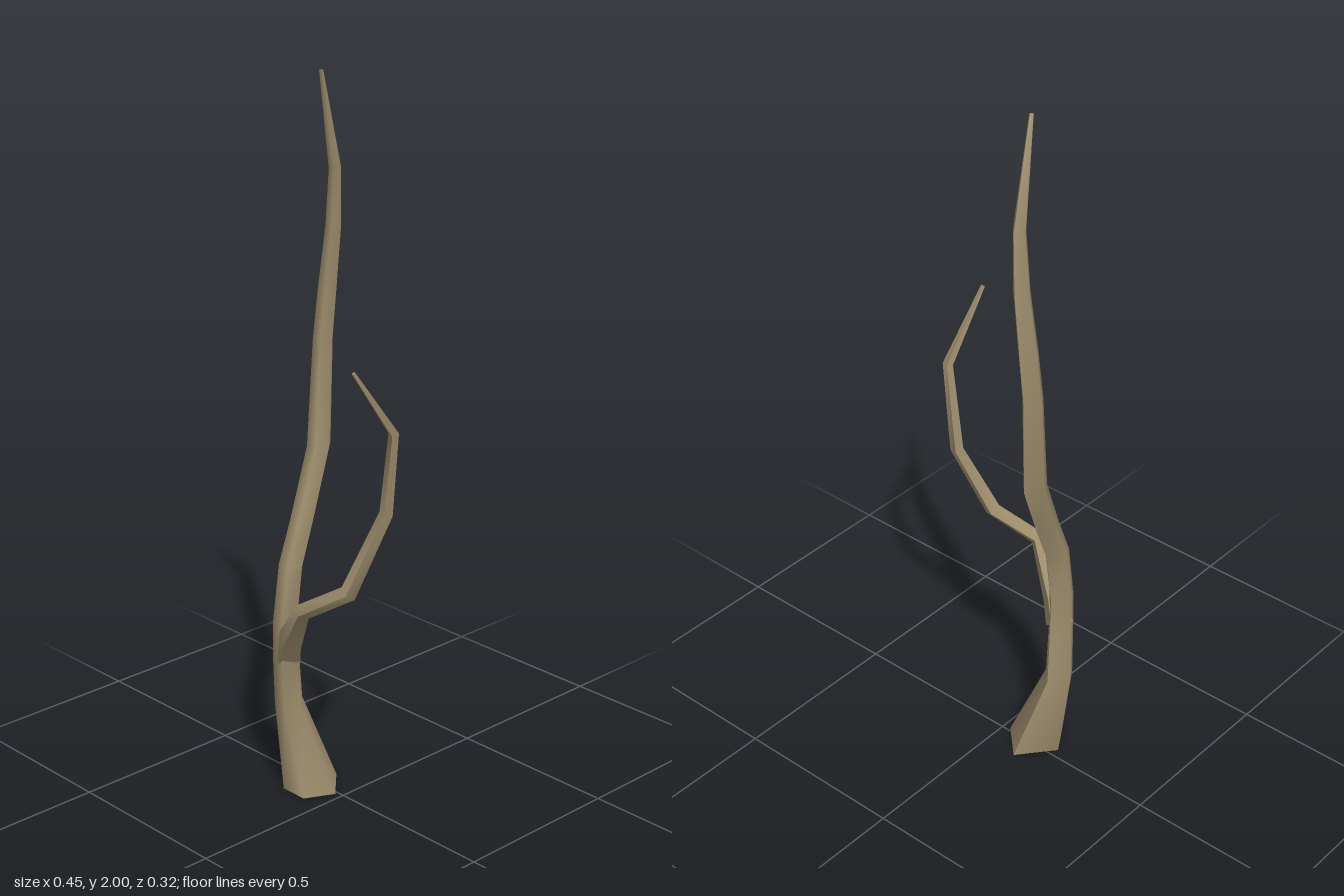
import * as THREE from 'three';
import { toCreasedNormals } from 'three/addons/utils/BufferGeometryUtils.js';

const bark = new THREE.MeshStandardMaterial({ color: 0x9c8c6c });

// Skin a list of rings (arrays of Vector3, counterclockwise around the growth direction), capped at both ends
function loft(name, rings) {
  const n = rings[0].length, pos = [];
  const tri = (...pts) => pts.forEach(p => pos.push(p.x, p.y, p.z));
  for (let r = 0; r < rings.length - 1; r++) {
    for (let i = 0; i < n; i++) {
      const j = (i + 1) % n, lo = rings[r], hi = rings[r + 1];
      tri(lo[i], lo[j], hi[j]);
      tri(lo[i], hi[j], hi[i]);
    }
  }
  const first = rings[0], last = rings[rings.length - 1];
  for (let i = 1; i < n - 1; i++) {
    tri(first[0], first[i + 1], first[i]);
    tri(last[0], last[i], last[i + 1]);
  }
  const geo = new THREE.BufferGeometry();
  geo.setAttribute('position', new THREE.Float32BufferAttribute(pos, 3));
  const mesh = new THREE.Mesh(toCreasedNormals(geo, 1.35), bark);
  mesh.name = name;
  return mesh;
}

// Five-sided trunk: level rings given as height, centre x, centre z, half width, half depth
function makeTrunk() {
  const outline = [[-0.5, 1], [0.5, 1], [1, 0], [0, -1], [-1, 0.2]];
  const levels = [
    [0, -0.103, 0.01, 0.082, 0.082],
    [0.25, -0.16, 0.047, 0.04, 0.042],
    [0.4, -0.148, 0.067, 0.036, 0.04],
    [0.51, -0.143, 0.073, 0.036, 0.037],
    [0.67, -0.146, 0.048, 0.036, 0.036],
    [0.8, -0.162, -0.015, 0.034, 0.036],
    [0.97, -0.18, -0.088, 0.033, 0.036],
    [1.26, -0.197, -0.119, 0.029, 0.03],
    [1.4, -0.19, -0.129, 0.028, 0.028],
    [1.57, -0.176, -0.137, 0.024, 0.023],
    [1.73, -0.159, -0.126, 0.018, 0.018],
    [2, -0.132, -0.05, 0.006, 0.006],
  ];
  return loft('trunk', levels.map(([y, cx, cz, w, d]) =>
    outline.map(([x, z]) => new THREE.Vector3(cx + x * w, y, cz + z * d))));
}

// Four-sided branch: square rings carried along a crooked path of x, y, z, half thickness
function makeBranch() {
  const path = [
    [-0.145, 0.41, 0.072, 0.031],
    [-0.11, 0.465, 0.095, 0.027],
    [-0.008, 0.598, 0.141, 0.017],
    [0.11, 0.672, 0.086, 0.017],
    [0.166, 0.89, 0.004, 0.013],
    [0.213, 1.13, 0.025, 0.01],
    [0.202, 1.317, 0.156, 0.004],
  ];
  const pts = path.map(p => new THREE.Vector3(p[0], p[1], p[2]));
  const dir = i => pts[i + 1].clone().sub(pts[i]).normalize();
  const side = new THREE.Vector3(0, 1, 0).cross(dir(0)).normalize();
  return loft('sideBranch', pts.map((p, i) => {
    const t = dir(Math.max(i - 1, 0)).add(dir(Math.min(i, pts.length - 2))).normalize();
    side.addScaledVector(t, -side.dot(t)).normalize();
    const up = t.clone().cross(side), h = path[i][3];
    return [[-1, -1], [1, -1], [1, 1], [-1, 1]].map(([a, b]) =>
      p.clone().addScaledVector(side, a * h).addScaledVector(up, b * h));
  }));
}

export function createModel() {
  const tree = new THREE.Group();
  tree.name = 'bareTree';
  tree.add(makeTrunk(), makeBranch());
  return tree;
}
